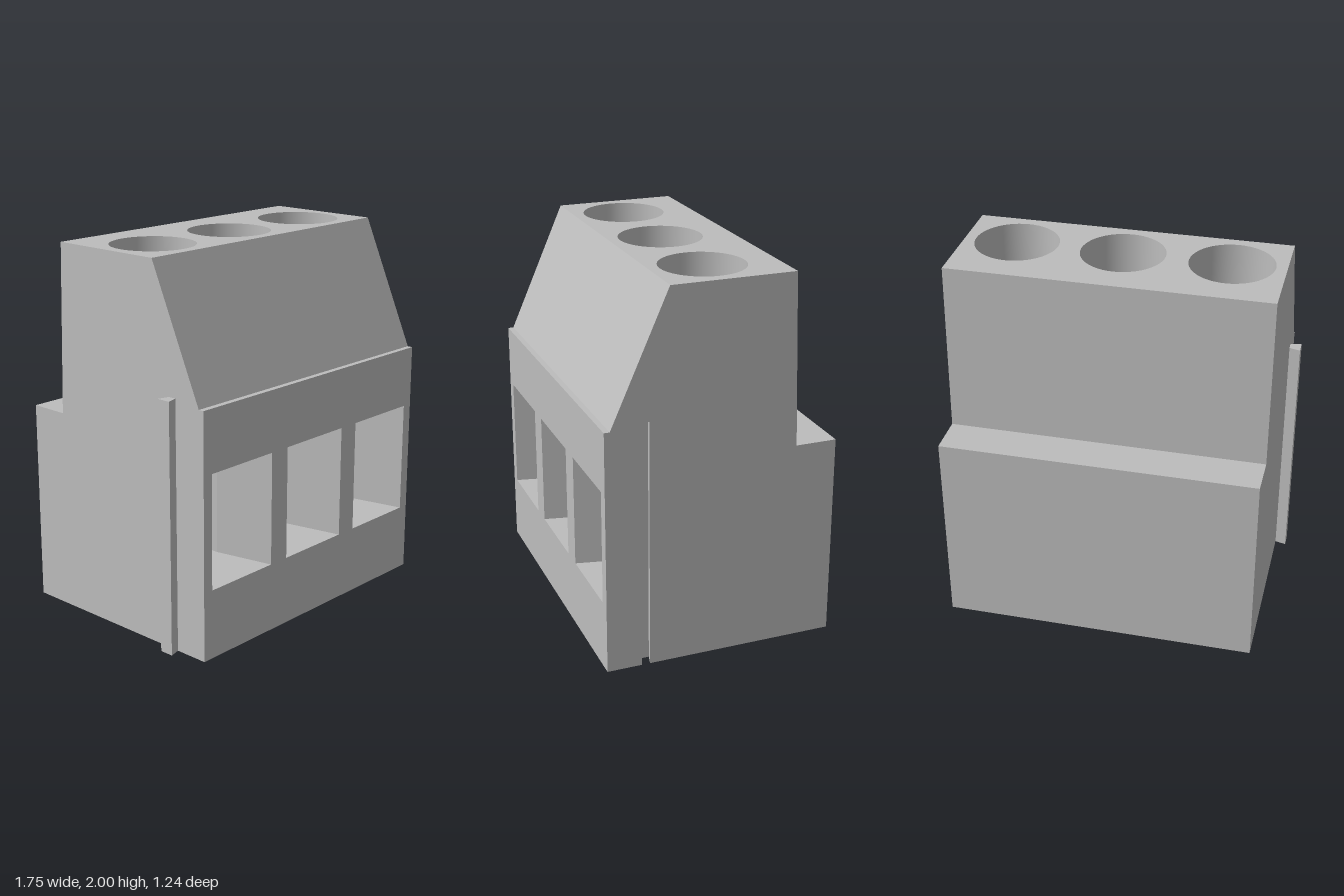
import * as THREE from 'three';
import { mergeGeometries } from 'three/addons/utils/BufferGeometryUtils.js';

const X0 = -0.815, X1 = 0.875, ZF = 0.62, ZB = -0.62;
const CELLS = [-0.535, 0.03, 0.595];
const R = 0.222, CZ = 0.007;          // screw well
const HW = 0.155, FLOOR = 0.37, CEIL = 0.895, BACK = -0.195, FRONT = 0.3; // wire chamber
const GZ = 0.412, GH = 1.335, GD = 0.06; // dovetail

const plastic = new THREE.MeshStandardMaterial({ color: 0xbdbdbd, side: THREE.DoubleSide });
plastic.name = 'grey plastic';

// Flat polygon with holes; place maps (u, v) to a point, toward is the facing direction
function flat(outline, holes, place, toward) {
  const v2 = (l) => l.map(([u, v]) => new THREE.Vector2(u, v));
  const tris = THREE.ShapeUtils.triangulateShape(v2(outline), holes.map(v2));
  const pts = [outline, ...holes].flat().map(([u, v]) => new THREE.Vector3(...place(u, v)));
  const dir = new THREE.Vector3(...toward), pos = [];
  for (const [i, j, k] of tris) {
    const [a, b, c] = [pts[i], pts[j], pts[k]];
    const n = b.clone().sub(a).cross(c.clone().sub(a));
    for (const p of n.dot(dir) < 0 ? [a, c, b] : [a, b, c]) pos.push(p.x, p.y, p.z);
  }
  return soup(pos);
}

function soup(pos) {
  const g = new THREE.BufferGeometry();
  g.setAttribute('position', new THREE.Float32BufferAttribute(pos, 3));
  g.computeVertexNormals();
  return g;
}

// Walls between two matching closed loops, facing inward or outward
function walls(a, b, inward = true) {
  const A = a.map((p) => new THREE.Vector3(...p)), B = b.map((p) => new THREE.Vector3(...p));
  const mid = new THREE.Vector3();
  [...A, ...B].forEach((p) => mid.addScaledVector(p, 1 / (2 * A.length)));
  const pos = [];
  A.forEach((p, i) => {
    const j = (i + 1) % A.length, q = [p, A[j], B[j], B[i]];
    const n = q[1].clone().sub(q[0]).cross(q[2].clone().sub(q[0]));
    if ((n.dot(mid.clone().sub(p)) > 0) !== inward) q.reverse();
    for (const k of [0, 1, 2, 0, 2, 3]) pos.push(q[k].x, q[k].y, q[k].z);
  });
  return soup(pos);
}

const rect = (x0, x1, y0, y1) => [[x0, y0], [x1, y0], [x1, y1], [x0, y1]];
const arc = (cx, a0, a1, n = 16) => Array.from({ length: n + 1 }, (_, i) => {
  const a = a0 + (a1 - a0) * i / n;
  return [cx + R * Math.cos(a), CZ + R * Math.sin(a)];
});
const onY = (y) => (x, z) => [x, y, z];
const onZ = (z) => (x, y) => [x, y, z];
const onX = (x) => (z, y) => [x, y, z];
const UP = [0, 1, 0], DOWN = [0, -1, 0];

function part(name, geos) {
  const m = new THREE.Mesh(geos.length > 1 ? mergeGeometries(geos) : geos[0], plastic);
  m.name = name;
  return m;
}

// Outer shell: stepped profile with openings in front, top and bottom
function housing() {
  const profile = [[ZF, 0], [ZF, 1.31], [0.59, 1.31], [0.285, 2], [-0.37, 2], [-0.4, 1.09], [ZB, 1.09], [ZB, 0]];
  const slot = [[GZ - 0.022, 0], [GZ - 0.022, GH], [GZ + 0.022, GH], [GZ + 0.022, 0]];
  const geos = [
    flat(profile, [], onX(X0), [-1, 0, 0]),
    flat([...profile, ...slot], [], onX(X1), [1, 0, 0]),
    flat(rect(X0, X1, 0, 1.31), CELLS.map((c) => rect(c - 0.222, c + 0.222, FLOOR, 0.98)), onZ(ZF), [0, 0, 1]),
    flat(rect(X0, X1, -0.37, 0.285), CELLS.map((c) => arc(c, 0, Math.PI * 2, 48).slice(0, -1)), onY(2), UP),
    flat([[X0, ZB], [X1, ZB], [X1, GZ - 0.022], [X1 - GD, GZ - 0.038], [X1 - GD, GZ + 0.038], [X1, GZ + 0.022], [X1, ZF], [X0, ZF]],
      CELLS.map((c) => rect(c - 0.05, c + 0.05, -0.02, 0.08)), onY(0), DOWN),
  ];
  // Remaining bands run straight across: front ledge, slope, back, step, rear
  const facing = { 1: UP, 2: [0, 1, 1], 4: [0, 0, -1], 5: UP, 6: [0, 0, -1] };
  for (const [k, dir] of Object.entries(facing)) {
    const [za, ya] = profile[k], [zb, yb] = profile[+k + 1];
    geos.push(flat(rect(X0, X1, 0, 1), [], (x, t) => [x, ya + (yb - ya) * t, za + (zb - za) * t], dir));
  }
  return part('housing', geos);
}

// Dovetail outline in plan, narrow at x and wide at x - GD
const dovetail = (x) => [[x, GZ - 0.022], [x - GD, GZ - 0.038], [x - GD, GZ + 0.038], [x, GZ + 0.022]];
const loopY = (o, y) => o.map(([x, z]) => [x, y, z]);

function groove() {
  const o = dovetail(X1);
  // The last wall of the loop is the open mouth, so it is dropped
  const g = walls(loopY(o, 0), loopY(o, GH));
  const pos = Array.from(g.attributes.position.array).slice(0, 54);
  return part('dovetailGroove', [soup(pos), flat(o, [], onY(GH), DOWN)]);
}

function rail() {
  const o = dovetail(X0);
  return part('dovetailRail', [
    walls(loopY(o, 0), loopY(o, GH), false), flat(o, [], onY(GH), UP), flat(o, [], onY(0), DOWN),
  ]);
}

// One terminal: screw well, wire funnel, chamber and pin hole
function terminal(c) {
  const g = new THREE.Group();
  g.name = 'terminal';
  const well = new THREE.CylinderGeometry(R, R, 2 - CEIL, 48, 1, true);
  well.translate(c, (2 + CEIL) / 2, CZ);
  g.add(part('screwWell', [well]));

  const mouth = rect(c - 0.222, c + 0.222, FLOOR, 0.98).map(([x, y]) => [x, y, ZF]);
  const inner = rect(c - HW, c + HW, FLOOR, CEIL);
  g.add(part('wireFunnel', [walls(mouth, inner.map(([x, y]) => [x, y, FRONT]))]));

  const pin = rect(c - 0.05, c + 0.05, -0.02, 0.08);
  const side = Math.acos(HW / R), rear = Math.asin((CZ - BACK) / R), PI = Math.PI;
  const sideWalls = [-1, 1].map((s) => flat(rect(BACK, FRONT, FLOOR, CEIL), [], onX(c + s * HW), [-s, 0, 0]));
  g.add(part('wireChamber', [
    ...sideWalls,
    flat(inner, [], onZ(BACK), [0, 0, 1]),
    flat(rect(c - HW, c + HW, BACK, FRONT), [pin], onY(FLOOR), UP),
    // Ceiling in front of the well and in the back corners
    flat([[c + HW, FRONT], ...arc(c, side, PI - side), [c - HW, FRONT]], [], onY(CEIL), DOWN),
    flat([[c + HW, BACK], ...arc(c, -rear, -side, 4)], [], onY(CEIL), DOWN),
    flat([[c - HW, BACK], ...arc(c, PI + side, PI + rear, 4)], [], onY(CEIL), DOWN),
  ]));
  // Ledges where the round well meets the square chamber
  g.add(part('wellLedge', [[-side, side], [PI - side, PI + side], [rear - PI, -rear]]
    .map(([a, b]) => flat(arc(c, a, b), [], onY(CEIL), UP))));
  g.add(part('pinHole', [walls(loopY(pin, 0), loopY(pin, FLOOR))]));
  return g;
}

export function createModel() {
  const model = new THREE.Group();
  model.name = 'terminalBlock';
  model.add(housing(), groove(), rail(), ...CELLS.map(terminal));
  return model;
}
